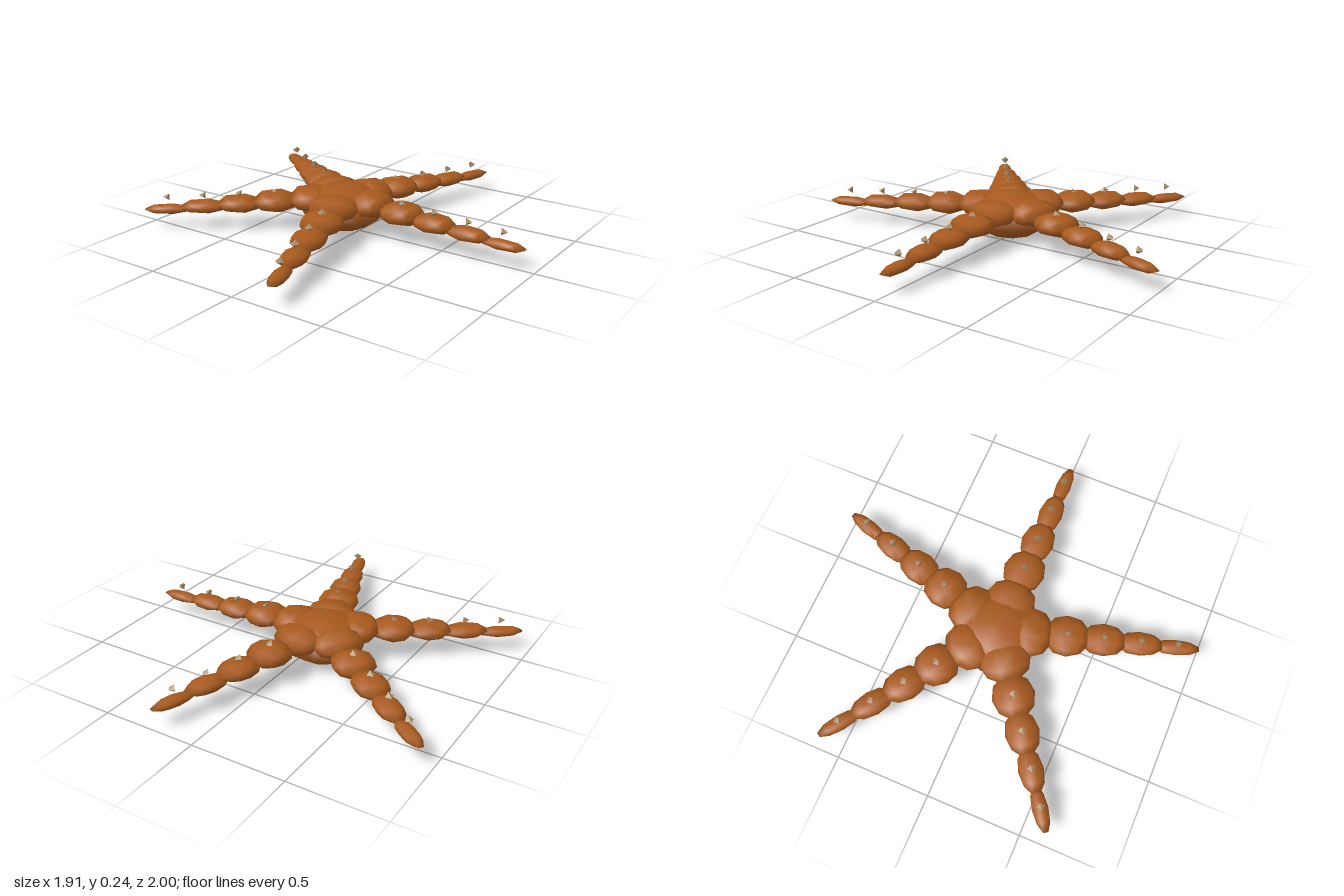
import * as THREE from 'three';

export function createModel() {
  const model = new THREE.Group();
  model.name = 'starfish';
  const skin = new THREE.MeshStandardMaterial({ name: 'burnt orange skin', color: 0xa85a1e });
  const spineTone = new THREE.MeshStandardMaterial({ name: 'tan spines', color: 0xa88c66 });

  // Rounded central disc
  const disc = new THREE.Mesh(new THREE.SphereGeometry(1, 10, 5), skin);
  disc.name = 'centralDisc';
  disc.scale.set(0.228, 0.12, 0.228);
  disc.position.y = 0.12;
  model.add(disc);

  // Seven-sided bead, its poles across the arm and a corner pointing outwards
  const bead = new THREE.SphereGeometry(1, 7, 5, Math.PI);
  bead.rotateX(Math.PI / 2);
  // Three-sided double pyramid, lying across the arm with an edge pointing outwards
  const spineShape = new THREE.SphereGeometry(0.0225, 3, 2, Math.PI).toNonIndexed();
  spineShape.rotateX(Math.PI / 2);
  spineShape.computeVertexNormals();

  // Each arm is a row of beads that get narrower and lower outwards
  function makeArm() {
    const arm = new THREE.Group();
    arm.name = 'arm';
    for (let i = 0; i < 5; i++) {
      const x = 0.17 + 0.19 * i;
      const segment = new THREE.Mesh(bead, skin);
      segment.name = 'armSegment';
      segment.scale.set(0.126, 0.069 - 0.0105 * i, 0.136 - 0.0237 * i);
      segment.position.set(x, 0.164 - 0.014 * i, 0);
      arm.add(segment);
      if (i > 0) {
        const spine = new THREE.Mesh(spineShape, spineTone);
        spine.name = 'spine';
        spine.position.set(x, 0.21 - 0.0088 * i, 0);
        arm.add(spine);
      }
    }
    return arm;
  }

  for (let k = 0; k < 5; k++) {
    const arm = makeArm();
    arm.rotation.y = (k * Math.PI * 2) / 5;
    model.add(arm);
  }

  model.position.x = -0.1;
  const root = new THREE.Group();
  root.add(model);
  return root;
}
